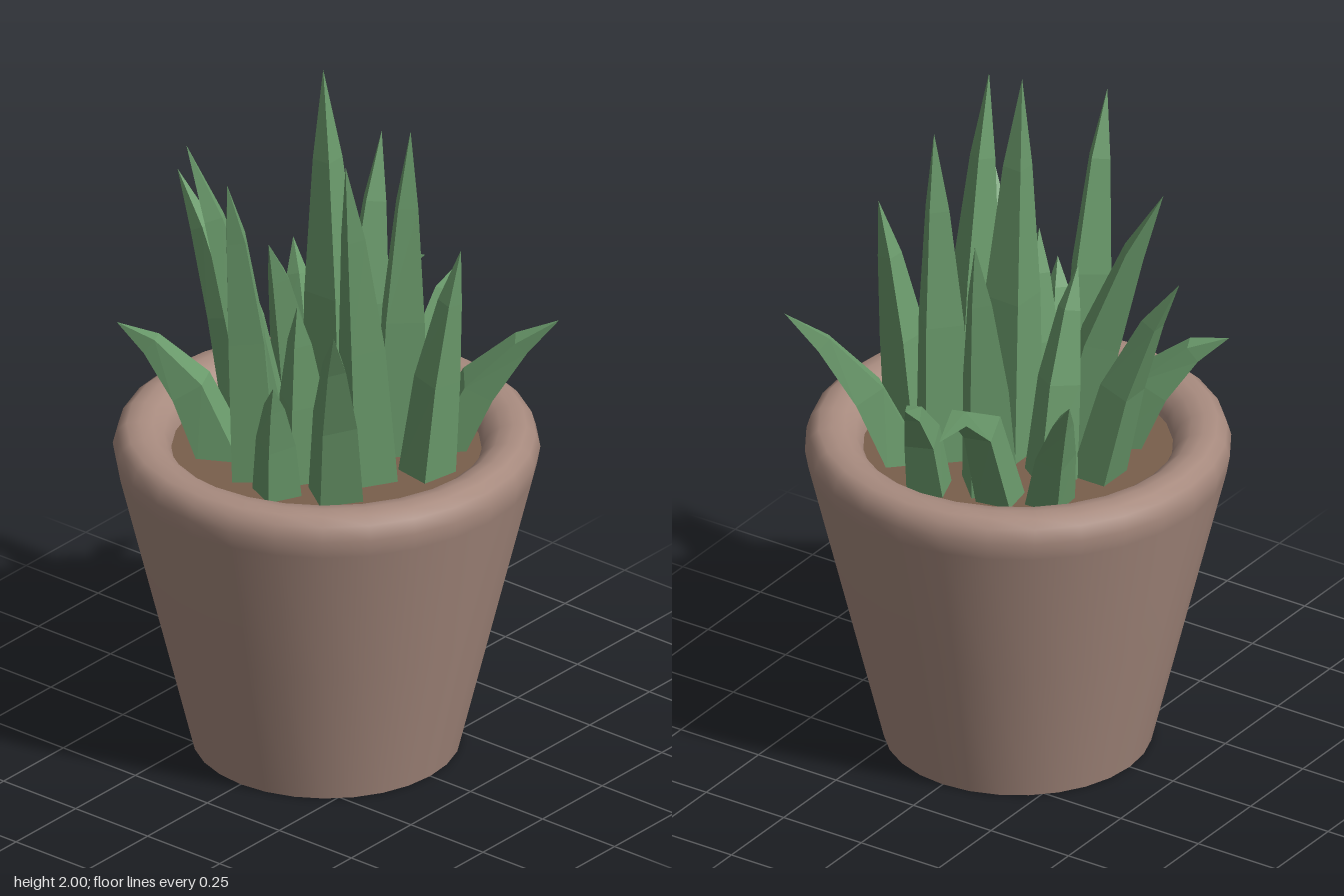
import * as THREE from 'three';

const SOIL_Y = 0.87;

// Leaf list: base x, base z, tip x, tip y, tip z, width, turn in degrees, arch
const LEAVES = [
  [0.025, 0.015, 0.01, 2.0, -0.02, 0.135, 0, 0.55],
  [0.005, -0.26, 0.015, 1.53, -0.53, 0.11, 0, 0.6],
  [-0.085, -0.12, -0.117, 1.7, -0.39, 0.12, 38, 0.55],
  [-0.19, -0.2, -0.3, 1.21, -0.48, 0.12, 28, 0.8],
  [0.205, -0.24, 0.325, 1.25, -0.385, 0.1, 5, 0.6],
  [0.22, -0.06, 0.34, 1.66, -0.09, 0.13, 45, 0.55],
  [0.26, -0.12, 0.57, 1.18, -0.13, 0.1, 10, 1.4],
  [-0.23, -0.06, -0.375, 1.8, -0.035, 0.12, 40, 0.65],
  [0.32, 0.07, 0.525, 1.21, 0.01, 0.1, 20, 0.85],
  [0.135, 0.145, 0.135, 1.83, 0.18, 0.13, 45, 0.55],
  [0.22, 0.22, 0.36, 1.28, 0.51, 0.11, 45, 0.65],
  [0.07, 0.29, 0.105, 1.55, 0.38, 0.11, -10, 0.55],
  [-0.05, 0.19, -0.18, 1.86, 0.215, 0.12, -30, 0.55],
  [-0.19, 0.19, -0.405, 1.48, 0.36, 0.12, -35, 0.6],
  [-0.15, 0.05, -0.22, 1.41, 0.08, 0.12, -30, 0.6],
  [-0.28, 0.06, -0.375, 1.24, 0.125, 0.1, -25, 0.65],
  [0.08, -0.16, -0.05, 1.45, -0.16, 0.11, -35, 0.65],
];

// Four-sided spike swept along a bent centre line and tapered to a point
function leafGeometry([bx, bz, tx, ty, tz, width, turn, arch]) {
  const base = new THREE.Vector3(bx, SOIL_Y - 0.01, bz);
  const tip = new THREE.Vector3(tx, ty, tz);
  const mid = base.clone().lerp(tip, 0.3);
  mid.y = base.y + (ty - base.y) * arch;
  const curve = new THREE.QuadraticBezierCurve3(base, mid, tip);

  const up = new THREE.Vector3(0, 1, 0);
  const rings = [[0, 1], [0.4, 0.8], [0.75, 0.42], [1, 0]].map(([t, size]) => {
    const q = new THREE.Quaternion();
    if (t > 0) q.setFromUnitVectors(up, curve.getTangent(t));
    return [0, 1, 2, 3].map((k) => {
      const a = THREE.MathUtils.degToRad(turn + 45 + 90 * k);
      const r = width * 0.707 * size;
      return new THREE.Vector3(Math.cos(a) * r, 0, -Math.sin(a) * r)
        .applyQuaternion(q).add(curve.getPoint(t));
    });
  });

  const points = [];
  for (let i = 0; i < 3; i++) {
    for (let k = 0; k < 4; k++) {
      const n = (k + 1) % 4;
      const [a, b, c, d] = [rings[i][k], rings[i][n], rings[i + 1][n], rings[i + 1][k]];
      points.push(a, b, c);
      if (i < 2) points.push(a, c, d);
    }
  }
  const geometry = new THREE.BufferGeometry().setFromPoints(points);
  geometry.computeVertexNormals();
  return geometry;
}

export function createModel() {
  const clay = new THREE.MeshStandardMaterial({ color: 0xa88b7f });
  clay.name = 'clay';
  const earth = new THREE.MeshStandardMaterial({ color: 0x795f4c });
  earth.name = 'earth';
  const green = new THREE.MeshStandardMaterial({ color: 0x6a9a6b });
  green.name = 'leafGreen';

  const model = new THREE.Group();
  model.name = 'pottedPlant';
  const add = (name, geometry, material, parent = model) => {
    const mesh = new THREE.Mesh(geometry, material);
    mesh.name = name;
    parent.add(mesh);
    return mesh;
  };

  // Tapered pot wall with a rounded lip that rolls down to the soil
  const profile = [
    [0.36, 0], [0.46, 0.41], [0.563, 0.83], [0.572, 0.88], [0.56, 0.92], [0.535, 0.94],
    [0.5, 0.945], [0.465, 0.938], [0.435, 0.915], [0.418, 0.885], [0.412, 0.85],
  ].map(([r, y]) => new THREE.Vector2(r, y));
  add('pot', new THREE.LatheGeometry(profile, 28), clay);
  add('potBottom', new THREE.CircleGeometry(0.36, 28).rotateX(Math.PI / 2), clay);

  // Soil disc
  add('soil', new THREE.CircleGeometry(0.416, 28).rotateX(-Math.PI / 2), earth).position.y = SOIL_Y;

  // Spiky leaves
  const leaves = new THREE.Group();
  leaves.name = 'leaves';
  model.add(leaves);
  LEAVES.forEach((leaf) => add('leaf', leafGeometry(leaf), green, leaves));

  return model;
}
